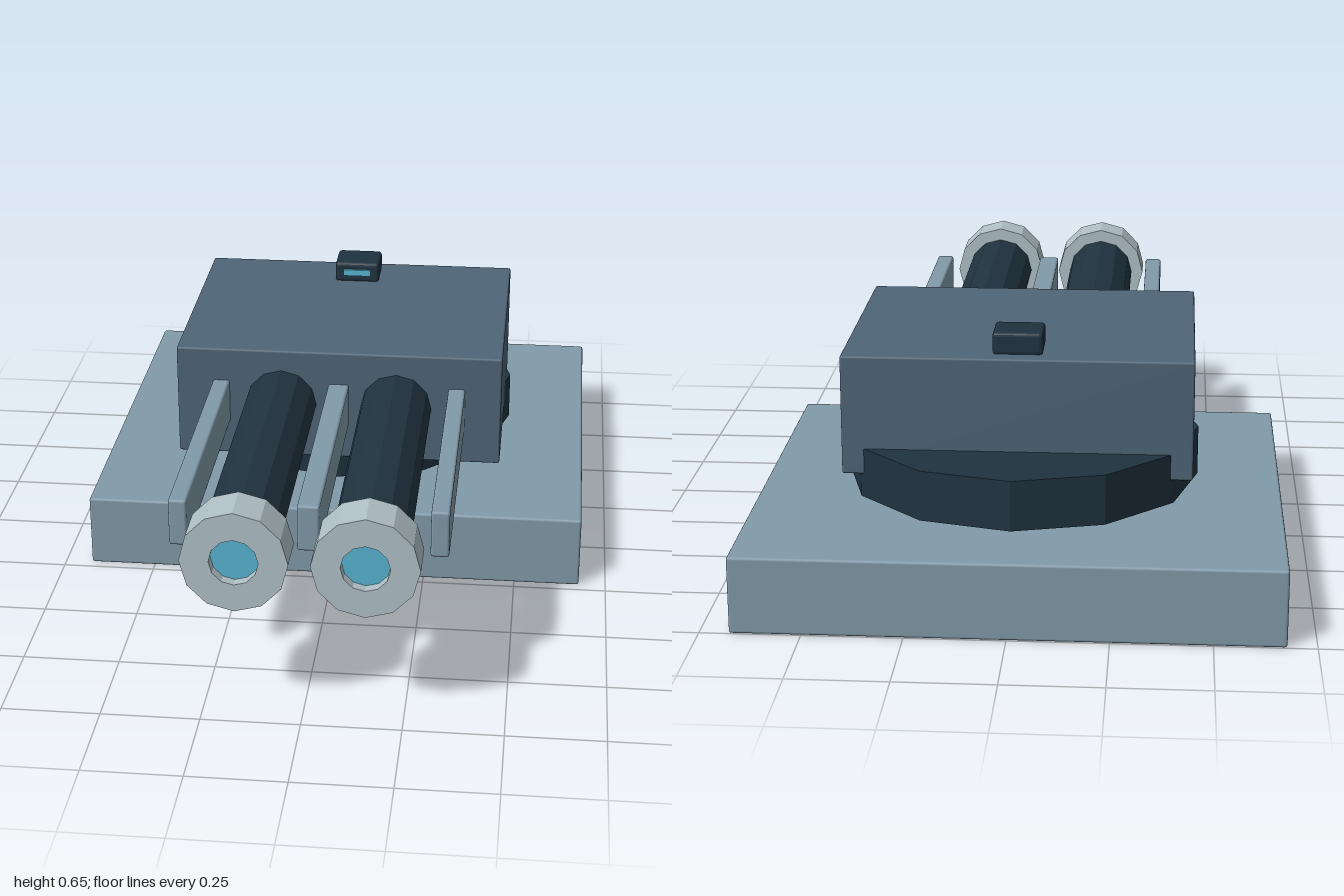
import * as THREE from 'three';
import { RoundedBoxGeometry } from 'three/addons/geometries/RoundedBoxGeometry.js';

const material = (name, color, flatShading = false) => {
  const m = new THREE.MeshStandardMaterial({ color, flatShading });
  m.name = name;
  return m;
};

export function createModel() {
  const model = new THREE.Group();
  model.name = 'twinCannonTurret';

  const plate = material('paleSteel', 0x819aa9);
  const armour = material('slateArmour', 0x4e6576);
  const dark = material('darkMetal', 0x203340, true);
  const silver = material('silver', 0xb0c0c6, true);
  const glow = material('cyanGlow', 0x58b4d2);

  const add = (name, geometry, mat, x = 0, y = 0, z = 0, parent = model) => {
    const mesh = new THREE.Mesh(geometry, mat);
    mesh.name = name;
    mesh.position.set(x, y, z);
    parent.add(mesh);
    return mesh;
  };

  // Box given by its limits on each axis, with a slim softened edge
  const box = (name, mat, [x0, x1], [y0, y1], [z0, z1], bevel = 0.007) =>
    add(name, new RoundedBoxGeometry(x1 - x0, y1 - y0, z1 - z0, 2, bevel), mat,
      (x0 + x1) / 2, (y0 + y1) / 2, (z0 + z1) / 2);

  // Base, turning ring and housing
  box('base', plate, [-0.677, 0.677], [0, 0.198], [-1, 0.225]);
  add('turningRing', new THREE.CylinderGeometry(0.46, 0.46, 0.13, 12), dark, 0, 0.289, -0.388);
  box('housing', armour, [-0.446, 0.446], [0.286, 0.598], [-0.627, 0.073], 0.006);

  // Sight on the roof
  box('sight', dark, [-0.064, 0.064], [0.595, 0.654], [-0.585, -0.471], 0.01);
  add('sightLens', new THREE.BoxGeometry(0.08, 0.018, 0.009), glow, 0, 0.626, -0.468);

  // Rails between and beside the barrels
  for (const [x, half] of [[-0.324, 0.023], [0, 0.028], [0.324, 0.023]]) {
    box('rail', plate, [x - half, x + half], [0.381, 0.505], [-0.02, 0.81]);
  }

  // Twin barrels, each with a hollow muzzle and a glowing core
  const barrelShape = new THREE.CylinderGeometry(0.097, 0.097, 0.92, 12).rotateX(Math.PI / 2);
  const muzzleProfile = [[0, 0], [0.132, 0], [0.132, 0.115], [0.06, 0.115], [0.06, 0.085]]
    .map(([r, h]) => new THREE.Vector2(r, h));
  const muzzleShape = new THREE.LatheGeometry(muzzleProfile, 12).rotateX(Math.PI / 2);
  const coreShape = new THREE.CircleGeometry(0.061, 24);
  for (const side of [-1, 1]) {
    const gun = new THREE.Group();
    gun.name = side > 0 ? 'leftGun' : 'rightGun';
    gun.position.set(side * 0.158, 0.443, 0);
    add('barrel', barrelShape, dark, 0, 0, 0.43, gun);
    add('muzzle', muzzleShape, silver, 0, 0, 0.885, gun);
    add('muzzleCore', coreShape, glow, 0, 0, 0.972, gun);
    model.add(gun);
  }

  return model;
}
